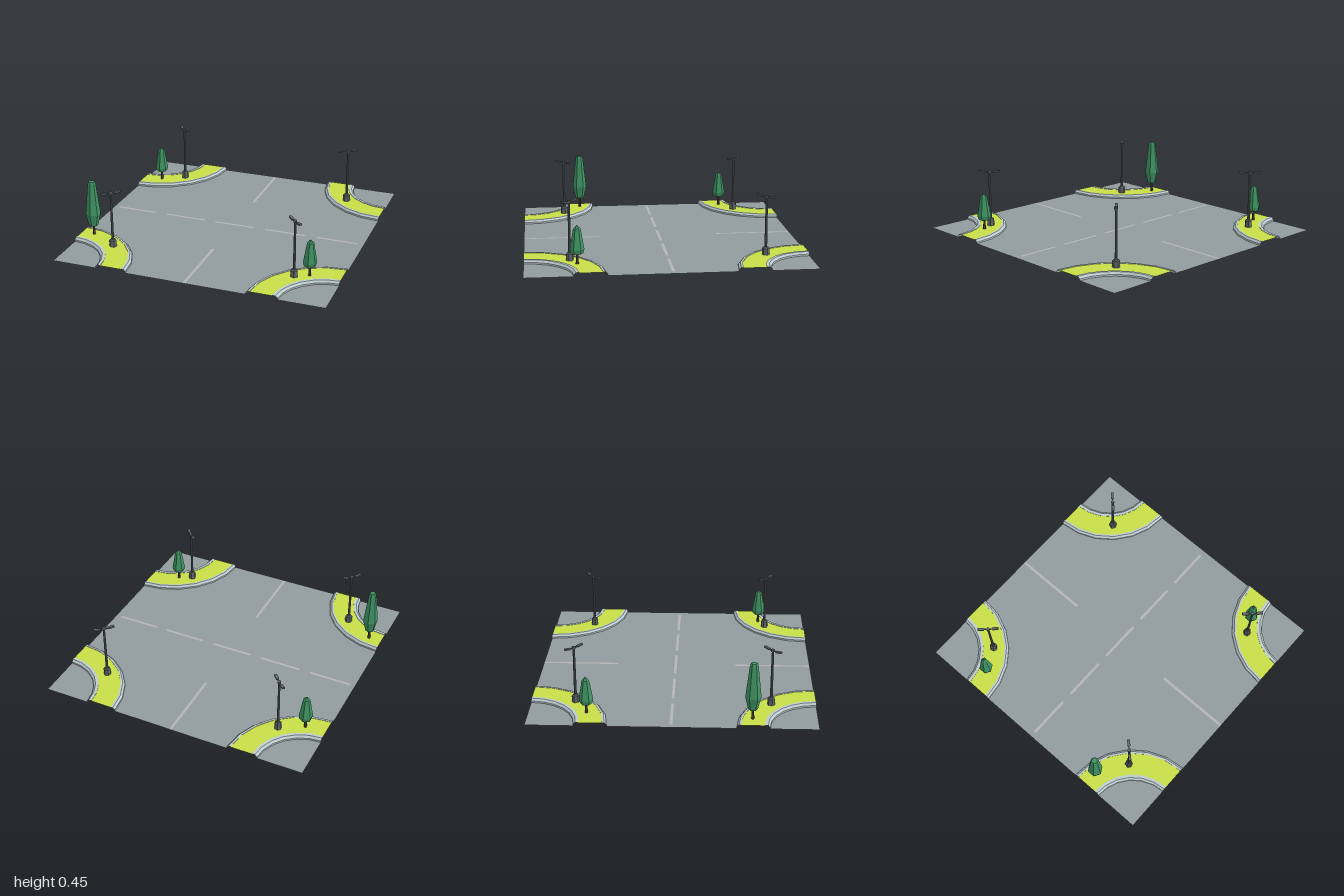
import * as THREE from 'three';

const mat = (color) => new THREE.MeshStandardMaterial({ color, flatShading: true, side: THREE.DoubleSide });
const V = (pairs) => pairs.map(([x, y]) => new THREE.Vector2(x, y));

const OUTER = 0.56, INNER = 0.333, SEG = 6;

export function createModel() {
  const model = new THREE.Group();
  model.name = 'crossroads';
  const asphalt = mat(0x919b9d), paint = mat(0xb4b4b4), kerb = mat(0xbccbd0);
  const grass = mat(0xc7dd48), leaf = mat(0x3f9463), bark = mat(0x5a463e), metal = mat(0x60686b);

  const add = (parent, name, geometry, material, x = 0, y = 0, z = 0) => {
    const mesh = new THREE.Mesh(geometry, material);
    mesh.name = name;
    mesh.position.set(x, y, z);
    parent.add(mesh);
    return mesh;
  };

  // Road: a flat square with a rounded bite at each corner
  const outline = [];
  [[1, 1], [-1, 1], [-1, -1], [1, -1]].forEach(([cx, cy], k) => {
    for (let i = 0; i <= SEG; i++) {
      const a = Math.PI * (1.5 + k / 2) - (i / SEG) * Math.PI / 2;
      outline.push([cx + OUTER * Math.cos(a), cy + OUTER * Math.sin(a)]);
    }
  });
  const road = new THREE.Shape(V(outline));

  // Painted lines [centre x, centre z, width, depth], set into the road
  const lines = [[-0.005, -0.719, 0.02, 0.558], [-0.005, 0.719, 0.02, 0.558]];
  for (let i = -2; i <= 2; i++) lines.push([i * 0.4 - 0.003, -0.005, 0.315, 0.02]);
  for (const [x, z, w, d] of lines) {
    const [l, r, b, t] = [x - w / 2, x + w / 2, -z - d / 2, -z + d / 2];
    road.holes.push(new THREE.Path(V([[l, b], [l, t], [r, t], [r, b]])));
    add(model, 'roadLine', new THREE.PlaneGeometry(w, d).rotateX(-Math.PI / 2), paint, x, 0, z);
  }
  add(model, 'road', new THREE.ShapeGeometry(road).rotateX(-Math.PI / 2), asphalt);

  // Corner verge: inner pad, two kerbs and a raised grass band, swept a quarter turn
  const sweep = (pts) => new THREE.LatheGeometry(V(pts), SEG, 0, Math.PI / 2);

  // Street lamp with two heads along the corner's diagonal
  const makeLamp = () => {
    const lamp = new THREE.Group();
    lamp.name = 'streetLamp';
    add(lamp, 'lampBase', new THREE.LatheGeometry(
      V([[0, 0.018], [0.027, 0.018], [0.027, 0.07], [0.018, 0.08], [0, 0.08]]), 6), metal);
    add(lamp, 'lampPole', new THREE.CylinderGeometry(0.008, 0.01, 0.37, 8), metal, 0, 0.26, 0);
    add(lamp, 'lampCollar', new THREE.CylinderGeometry(0.013, 0.013, 0.016, 6), metal, 0, 0.437, 0);
    for (const s of [-1, 1]) {
      const arm = new THREE.Group();
      arm.name = 'lampArm';
      arm.position.y = 0.433;
      arm.rotation.y = s > 0 ? 0 : Math.PI;
      add(arm, 'lampBracket', new THREE.BoxGeometry(0.04, 0.008, 0.008), metal, 0.02, 0.003, 0).rotation.z = 0.12;
      add(arm, 'lampHead', new THREE.BoxGeometry(0.046, 0.011, 0.02), metal, 0.053, 0.007, 0).rotation.z = 0.14;
      lamp.add(arm);
    }
    return lamp;
  };

  for (let k = 0; k < 4; k++) {
    const corner = new THREE.Group();
    corner.name = 'corner';
    corner.rotation.y = k * Math.PI / 2;
    const pad = new THREE.CircleGeometry(INNER, SEG, -Math.PI / 2, Math.PI / 2).rotateX(-Math.PI / 2);
    add(corner, 'cornerPad', pad, asphalt, -1, 0, -1);
    add(corner, 'outerKerb', sweep(
      [[OUTER, 0], [OUTER, 0.012], [0.545, 0.027], [0.53, 0.027], [0.53, 0.023]]), kerb, -1, 0, -1);
    add(corner, 'grassBand', sweep([[0.53, 0.024], [0.37, 0.024]]), grass, -1, 0, -1);
    add(corner, 'innerKerb', sweep(
      [[0.37, 0.023], [0.37, 0.027], [0.348, 0.027], [INNER, 0.012], [INNER, 0]]), kerb, -1, 0, -1);
    const lamp = makeLamp();
    lamp.position.set(-0.683, 0, -0.683);
    lamp.rotation.y = -Math.PI / 4;
    corner.add(lamp);
    model.add(corner);
  }

  // Trees: six-sided trunk and crown
  const tall = [[0, 0.095], [0.033, 0.098], [0.055, 0.19], [0.029, 0.425], [0.022, 0.442], [0, 0.445]];
  const small = [[0, 0.095], [0.042, 0.098], [0.05, 0.128], [0.025, 0.272], [0, 0.297]];
  for (const [x, z, crown] of [[-0.9, 0.55, tall], [-0.85, -0.59, small], [0.78, 0.635, small]]) {
    const tree = new THREE.Group();
    tree.name = 'tree';
    tree.position.set(x, 0, z);
    add(tree, 'trunk', new THREE.CylinderGeometry(0.007, 0.011, 0.09, 6), bark, 0, 0.063, 0);
    add(tree, 'crown', new THREE.LatheGeometry(V(crown), 6), leaf);
    model.add(tree);
  }
  return model;
}
